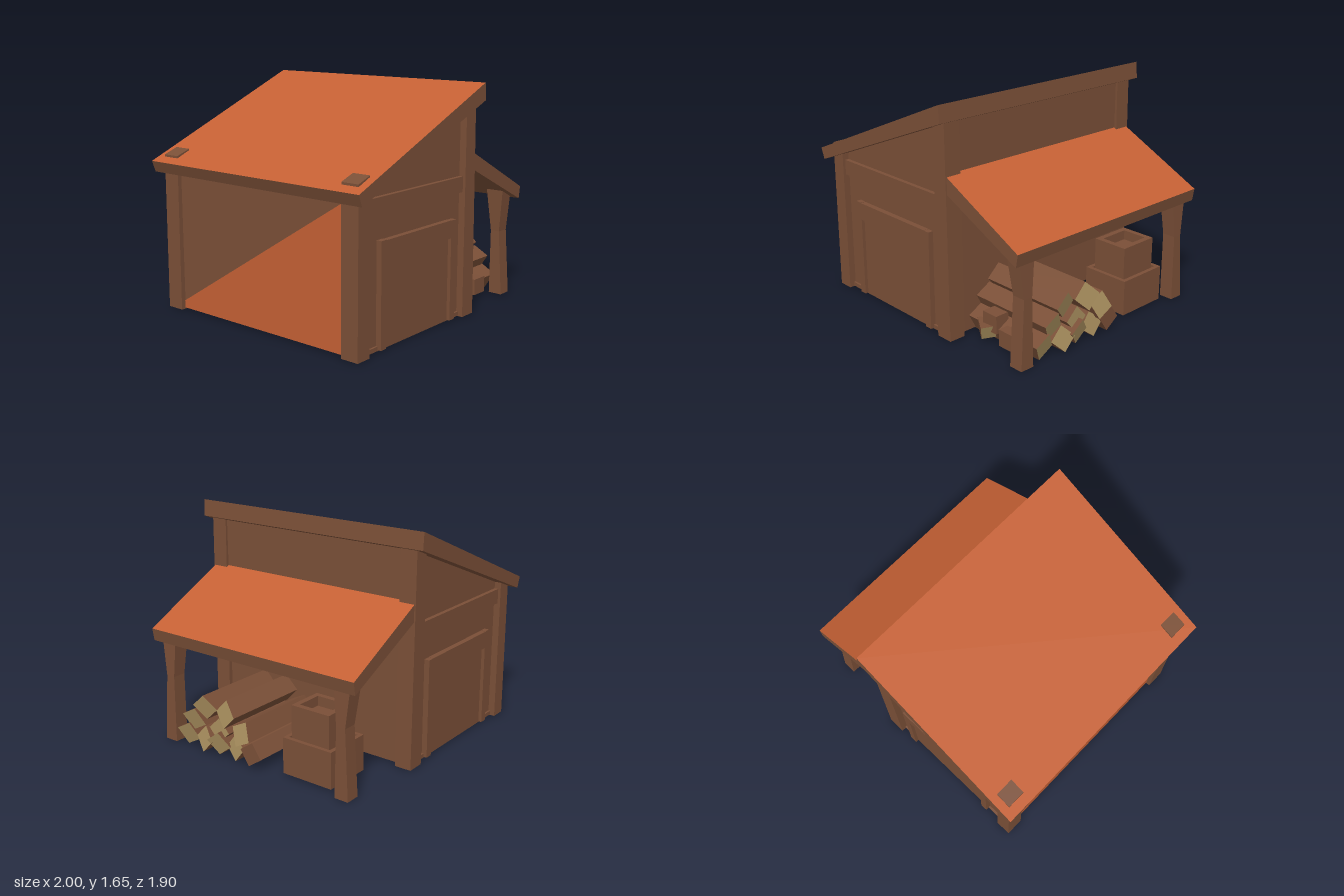
import * as THREE from 'three';

const paint = (color) => new THREE.MeshStandardMaterial({ color, flatShading: true });
const wood = paint(0x7a4f37);
const rust = paint(0xc46034);
const cut = paint(0xa98f5e);

export function createModel() {
  const model = new THREE.Group();

  function add(name, geometry, material, parent = model) {
    const mesh = new THREE.Mesh(geometry, material);
    mesh.name = name;
    parent.add(mesh);
    return mesh;
  }

  // Four-sided profile [bottom left, bottom right, top right, top left] run from z0 to z1
  function prism(name, profile, z0, z1, material = wood) {
    const g = new THREE.BoxGeometry(1, 1, 1);
    const p = g.attributes.position;
    for (let i = 0; i < p.count; i++) {
      const right = p.getX(i) > 0, top = p.getY(i) > 0;
      const [x, y] = profile[top ? (right ? 2 : 3) : (right ? 1 : 0)];
      p.setXYZ(i, x, y, p.getZ(i) > 0 ? z1 : z0);
    }
    g.computeVertexNormals();
    return add(name, g, material);
  }
  const slab = (name, x0, x1, y0, y1, z0, z1, material) =>
    prism(name, [[x0, y0], [x1, y0], [x1, y1], [x0, y1]], z0, z1, material);

  function triangle(name, ...corners) {
    const g = new THREE.BufferGeometry().setFromPoints(corners.map((c) => new THREE.Vector3(...c)));
    g.computeVertexNormals();
    return add(name, g, rust);
  }

  // Shed body with a rust floor and a two-tone left wall
  prism('walls', [[-0.9, 0.02], [0.325, 0.02], [0.325, 1.54], [-0.9, 1.06]], -0.84, 0.84,
    [wood, wood, wood, rust, wood, wood]);
  triangle('leftWallPanel', [-0.903, 0.02, -0.84], [-0.903, 0.02, 0.84], [-0.903, 1.06, 0.84]);

  // Roofs: rust on top, wooden edges
  const roofMaterials = [wood, wood, rust, wood, wood, wood];
  prism('mainRoof', [[-0.97, 1.01], [0.37, 1.54], [0.36, 1.66], [-1, 1.09]], -0.95, 0.95, roofMaterials);
  prism('leanToRoof', [[0.32, 1.065], [0.985, 0.75], [1, 0.84], [0.32, 1.185]], -0.88, 0.88, roofMaterials);
  triangle('leanToUnderside', [0.34, 1.053, -0.86], [0.97, 0.754, -0.86], [0.34, 1.053, 0.86]);

  // Parts repeated on the front and back ends
  for (const s of [1, -1]) {
    const ends = (a, b) => (s > 0 ? [a, b] : [-b, -a]);
    prism('lowCornerPost', [[-0.935, 0.01], [-0.82, 0.01], [-0.82, 1.175], [-0.93, 1.135]], ...ends(0.755, 0.89));
    prism('highCornerPost', [[0.23, 0.01], [0.36, 0.01], [0.34, 1.54], [0.23, 1.5]], ...ends(0.765, 0.89));
    slab('crossBeam', -0.83, 0.24, 0.91, 1.02, ...ends(0.82, 0.87));
    slab('sill', -0.83, 0.24, 0.015, 0.045, ...ends(0.82, 0.855));

    // Door and frame
    prism('doorJamb', [[-0.69, 0.02], [-0.635, 0.02], [-0.635, 0.74], [-0.69, 0.74]], ...ends(0.82, 0.88));
    prism('doorJamb', [[0.085, 0.02], [0.14, 0.02], [0.14, 0.735], [0.085, 0.735]], ...ends(0.82, 0.88));
    slab('doorLintel', -0.64, 0.09, 0.61, 0.737, ...ends(0.82, 0.88));
    slab('door', -0.64, 0.09, 0.03, 0.62, ...ends(0.82, 0.855));

    // Lean-to post, waisted halfway up: [y, x0, x1, z0, z1]
    const levels = [[0.01, 0.87, 0.975, 0.715, 0.82], [0.5, 0.865, 0.965, 0.72, 0.79], [0.84, 0.835, 0.955, 0.69, 0.83]];
    const g = new THREE.BoxGeometry(2, 2, 2, 1, 2, 1);
    const p = g.attributes.position;
    for (let i = 0; i < p.count; i++) {
      const [y, x0, x1, z0, z1] = levels[Math.round(p.getY(i)) + 1];
      const [za, zb] = ends(z0, z1);
      p.setXYZ(i, p.getX(i) > 0 ? x1 : x0, y, p.getZ(i) > 0 ? zb : za);
    }
    g.computeVertexNormals();
    add('leanToPost', g, wood);
  }

  // Log with pale cut ends, the outer end sawn at a slant
  const woodpile = new THREE.Group();
  woodpile.name = 'woodpile';
  model.add(woodpile);
  function log(x0, x1, y, z, size, roll, slant = 0, end = cut) {
    const g = new THREE.BoxGeometry(x1 - x0, size, size);
    const p = g.attributes.position;
    for (let i = 0; i < p.count; i++) {
      if (p.getX(i) > 0) p.setX(i, p.getX(i) + slant * Math.sign(p.getY(i)));
    }
    g.rotateX(roll);
    g.computeVertexNormals();
    const mesh = add('log', g, [end, cut, wood, wood, wood, wood], woodpile);
    mesh.position.set((x0 + x1) / 2, y, z);
    return mesh;
  }
  // [y, z, size, roll, slant]
  const logs = [
    [0.1, 0.6, 0.135, 0.5, 0.02], [0.105, 0.435, 0.13, 0.8, -0.02], [0.11, 0.29, 0.13, 0.65, 0.02],
    [0.11, 0.15, 0.13, 0.9, -0.015], [0.23, 0.53, 0.135, 0.5, 0.02], [0.235, 0.08, 0.135, 0.45, -0.02],
    [0.2, 0.3, 0.13, 0.75, 0], [0.345, 0.42, 0.135, 0.75, 0.02], [0.345, 0.22, 0.14, 0.8, -0.02],
  ];
  logs.forEach(([y, z, size, roll, slant], i) => log(0.31, 0.96 + (i % 3) * 0.01, y, z, size, roll, slant));
  log(0.31, 0.98, 0.11, -0.005, 0.13, 0.6, 0, wood);

  // Short pieces at the front of the pile
  log(0.42, 0.57, 0.095, 0.68, 0.1, 0.1, 0.02).rotation.y = -0.6;
  slab('shortLog', 0.49, 0.62, 0.1, 0.23, 0.6, 0.71);
  slab('shortLog', 0.655, 0.79, 0.035, 0.155, 0.6, 0.72);

  // Open crates: a hollow frame and a raised inner floor
  function crate(x, y, z, w, h, d, rim) {
    const rect = (target, a, b) => target.moveTo(-a, -b).lineTo(a, -b).lineTo(a, b).lineTo(-a, b).closePath();
    const shape = rect(new THREE.Shape(), w / 2, d / 2);
    shape.holes.push(rect(new THREE.Path(), w / 2 - rim, d / 2 - rim));
    const g = new THREE.ExtrudeGeometry(shape, { depth: h, bevelEnabled: false }).rotateX(-Math.PI / 2);
    add('crateSides', g, wood).position.set(x, y, z);
    const floor = new THREE.BoxGeometry(w - rim, h * 0.75, d - rim);
    add('crateFloor', floor, wood).position.set(x, y + h * 0.375 + 0.002, z);
  }
  crate(0.735, 0.02, -0.44, 0.36, 0.26, 0.4, 0.03);
  crate(0.735, 0.215, -0.435, 0.27, 0.29, 0.31, 0.04);

  return model;
}
